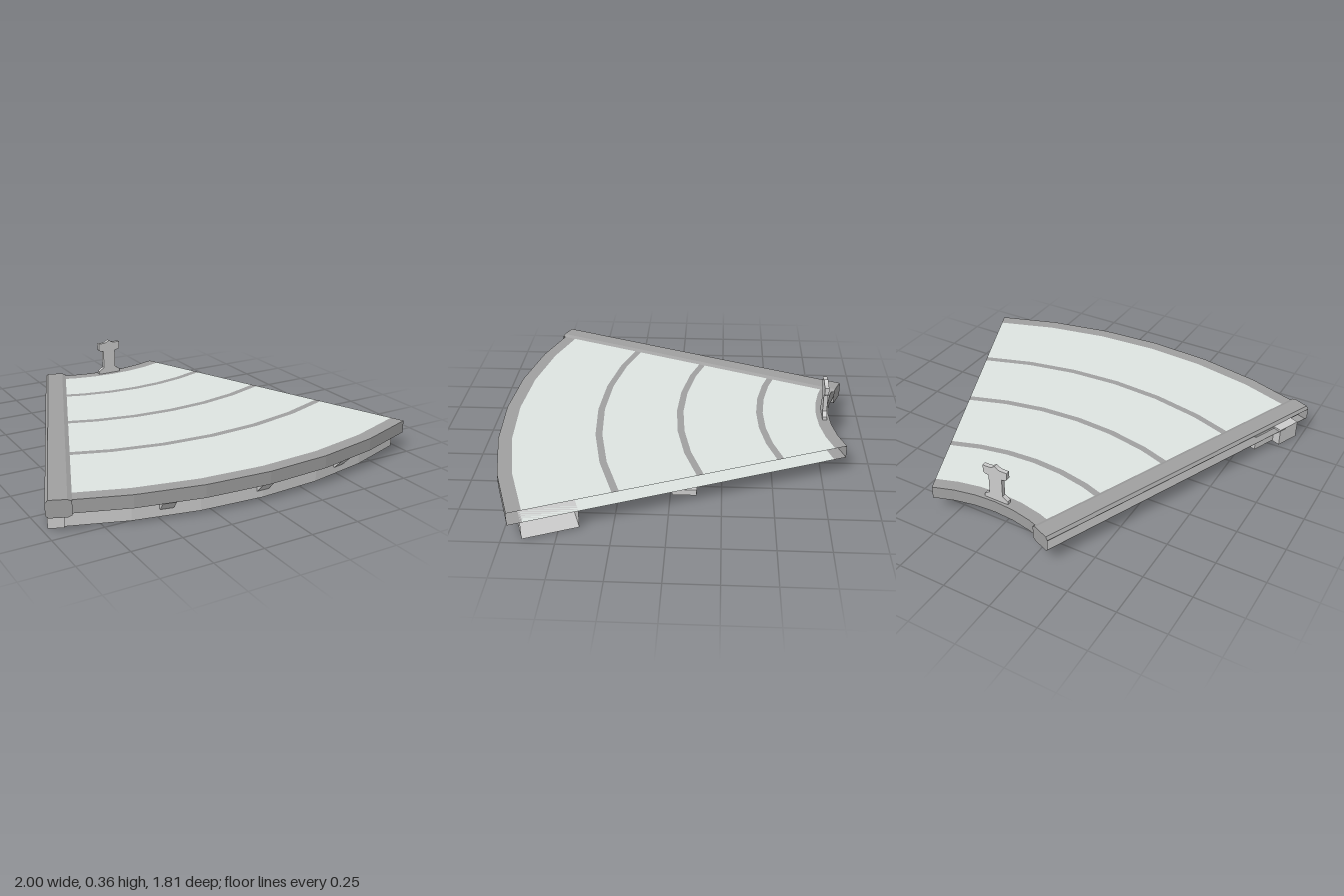
import * as THREE from 'three';

const CX = 0.022, CZ = -1.646;     // centre of the arcs
const HALF = Math.PI / 8;          // half of the 45 degree wedge
const R_IN = 0.84, R_OUT = 2.55;
const TOP = 0.163, BOTTOM = 0.098;

const material = (color) =>
  new THREE.MeshStandardMaterial({ color, flatShading: true, side: THREE.DoubleSide });
const grey = material(0xcccccc);
const pale = material(0xdde4e1);
const dark = material(0xa0a0a0);

// Sweep a profile of [a, y] points through frames, each mapping (a, y) to a point.
function sweep(profile, frames, { closed = false, capStart = false, capEnd = false } = {}) {
  const n = profile.length, pos = [], index = [];
  for (const frame of frames) for (const [a, y] of profile) pos.push(...frame(a, y));
  for (let i = 0; i + 1 < frames.length; i++) {
    for (let j = 0; j < (closed ? n : n - 1); j++) {
      const k = (j + 1) % n, p = i * n, q = p + n;
      index.push(p + j, p + k, q + k, p + j, q + k, q + j);
    }
  }
  const last = (frames.length - 1) * n;
  for (let j = 1; j + 1 < n; j++) {
    if (capStart) index.push(0, j + 1, j);
    if (capEnd) index.push(last, last + j, last + j + 1);
  }
  const indexed = new THREE.BufferGeometry();
  indexed.setAttribute('position', new THREE.Float32BufferAttribute(pos, 3));
  indexed.setIndex(index);
  const geometry = indexed.toNonIndexed();
  geometry.computeVertexNormals();
  return geometry;
}

// Frames along an arc about the wedge centre
function arc(from = -HALF, to = HALF, steps = 6) {
  return Array.from({ length: steps + 1 }, (_, i) => {
    const t = from + (to - from) * i / steps;
    return (r, y) => [CX + r * Math.sin(t), y, CZ + r * Math.cos(t)];
  });
}

// Frame across the left seam at radius r; a runs outward from the seam
const across = (r) => (a, y) => [
  CX - Math.sin(HALF) * r - Math.cos(HALF) * a, y,
  CZ + Math.cos(HALF) * r - Math.sin(HALF) * a];

// Rectangular profile, wound so that its faces look outward
const rect = (a0, a1, y0, y1) => [[a0, y1], [a1, y1], [a1, y0], [a0, y0]];
const solid = { closed: true, capStart: true, capEnd: true };

export function createModel() {
  const model = new THREE.Group();
  const add = (name, geometry, mat = grey) => {
    const mesh = new THREE.Mesh(geometry, mat);
    mesh.name = name;
    model.add(mesh);
    return mesh;
  };

  // Deck: pale panels between dark bands
  const radii = [0.905, 1.185, 1.22, 1.605, 1.64, 2.025, 2.06, 2.48];
  for (let i = 0; i + 1 < radii.length; i++) {
    const isBand = i % 2 === 1;
    add(isBand ? 'deckBand' : 'deckPanel',
      sweep([[radii[i], TOP], [radii[i + 1], TOP]], arc()), isBand ? dark : pale);
  }

  // Underside of the deck
  add('underside', sweep([[2.48, BOTTOM], [0.905, BOTTOM]], arc()), pale);

  // Outer and inner rims, open at the joining sides
  add('outerRim', sweep([[2.48, TOP], [R_OUT, TOP], [R_OUT, BOTTOM], [2.48, BOTTOM]], arc()), dark);
  add('innerRim', sweep([[0.905, BOTTOM], [R_IN, BOTTOM], [R_IN, TOP], [0.905, TOP]], arc()), dark);

  // Edge channel along the left seam: top and bottom strips, open between, with end caps
  const upper = [[-0.066, 0.163], [-0.046, 0.172], [0.038, 0.172], [0.051, 0.157]];
  const lower = [[0.051, 0.1], [0.038, 0.087], [-0.046, 0.087], [-0.066, 0.096]];
  const ends = [across(0.822), across(2.56)];
  add('channelTop', sweep(upper, ends), dark);
  add('channelBottom', sweep(lower, ends), dark);
  add('channelInnerCap', sweep([...upper, ...lower], [ends[0]], { capStart: true }), dark);
  add('channelOuterCap', sweep([...upper, ...lower], [ends[1]], { capEnd: true }), dark);

  // Curved skirt below the outer edge, closed at the channel end only
  add('skirt', sweep(rect(2.22, 2.49, 0.008, BOTTOM), arc(), { closed: true, capStart: true }));

  // Bars through the skirt with a sloped outer end
  for (const t of [-HALF / 2, 0, HALF / 2]) {
    add('skirtBar', sweep([[2.18, BOTTOM], [2.54, BOTTOM], [2.49, 0.045], [2.18, 0.045]],
      arc(t - 0.013, t + 0.013, 1), solid));
  }

  // Tongue reaching past the closed end of the skirt
  add('skirtTongue', sweep(rect(-0.03, 0.045, 0.004, BOTTOM), [across(2.36), across(2.493)], solid));

  // Cross rib under the deck: straight middle, ends stepped back and down
  const path = [[-0.59, -0.07, -0.03], [-0.53, -0.07, -0.03], [-0.45, 0.01, 0],
    [0.48, 0.01, 0], [0.56, -0.07, -0.03], [0.63, -0.07, -0.03]];
  add('crossRib', sweep(rect(-0.06, 0.06, 0.068, BOTTOM),
    path.map(([x, z, dy]) => (a, y) => [x, y + dy, z + a]), solid));

  // Upright post on the inner rim
  const half = [[0.066, 0.163], [0.066, 0.18], [0.037, 0.2], [0.037, 0.3], [0.06, 0.305],
    [0.067, 0.312], [0.067, 0.35], [0.03, 0.35], [0.015, 0.355], [0, 0.366]];
  const outline = [...half, ...half.slice(0, -1).reverse().map(([x, y]) => [-x, y])];
  const shape = new THREE.Shape(outline.map(([x, y]) => new THREE.Vector2(x, y)));
  const post = add('post', new THREE.ExtrudeGeometry(shape, { depth: 0.022, bevelEnabled: false }));
  post.position.set(CX - 0.005, 0, -0.793);

  return model;
}
